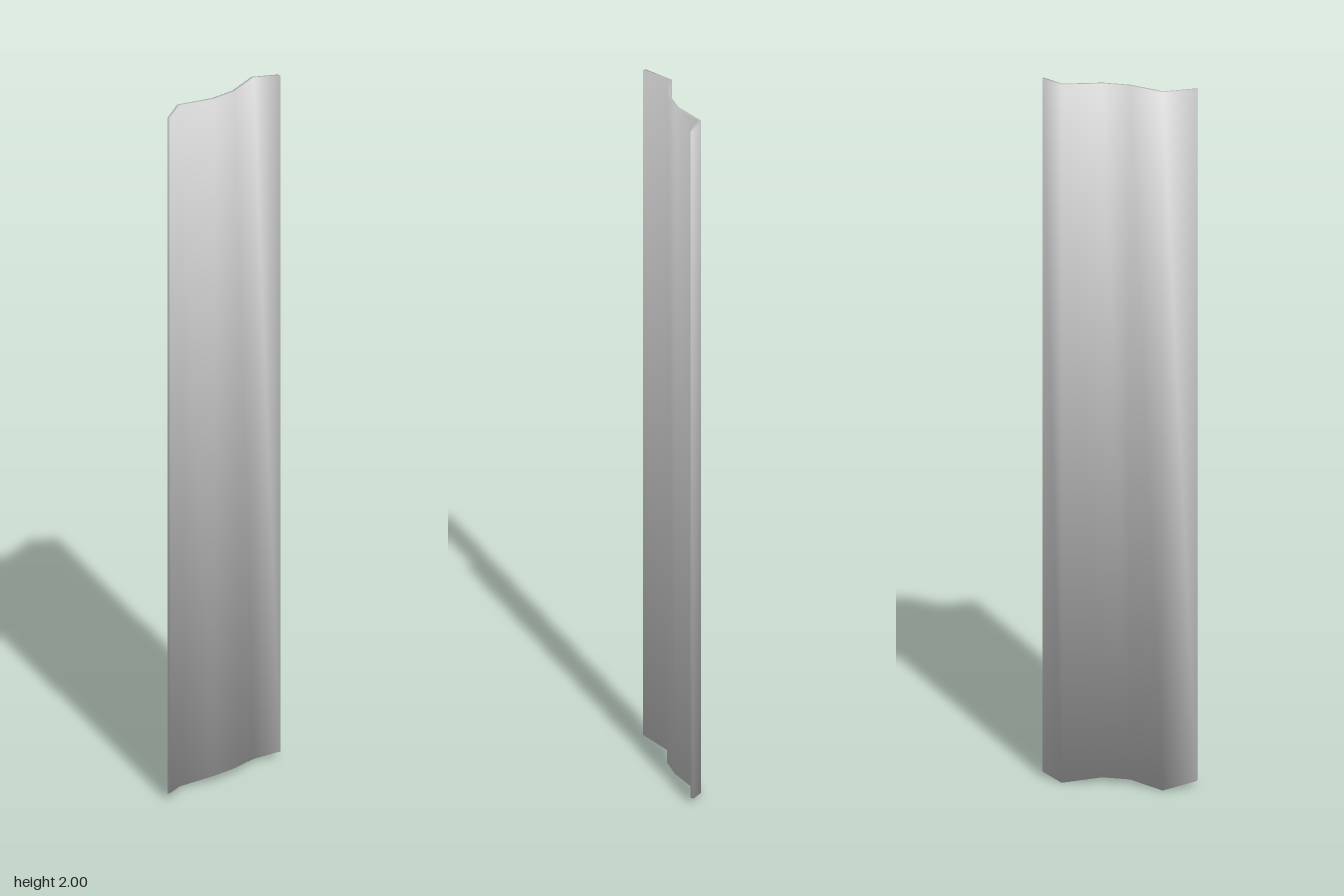
import * as THREE from 'three';
import { toCreasedNormals } from 'three/addons/utils/BufferGeometryUtils.js';

// All sizes below are in hundredths of a unit; the geometry is scaled down last.
const HEIGHT = 200;
const THICKNESS = 0.9;
const BOTTOM_SLOPE = 0.38;

// Zigzag cross-section of the sheet from back to front: [x, z]
const FOLDS = [
  [1.0, -21.5],
  [-2.9, -15.2],
  [0.5, -4.7],
  [0.5, 3.1],
  [-2.9, 13.0],
  [1.9, 21.4],
];

function foldedSheet() {
  // Closed outline: one side of the sheet, then back along the other
  const near = FOLDS.map(([x, z]) => new THREE.Vector2(x, -z));
  const far = near.map((p) => new THREE.Vector2(p.x + THICKNESS, p.y)).reverse();
  const geometry = new THREE.ExtrudeGeometry(new THREE.Shape([...near, ...far]), {
    depth: HEIGHT,
    bevelEnabled: false,
  });
  geometry.rotateX(-Math.PI / 2);

  // Bottom edge is cut at a slant, rising towards +x
  const pos = geometry.attributes.position;
  for (let i = 0; i < pos.count; i++) {
    if (pos.getY(i) < 1) pos.setY(i, BOTTOM_SLOPE * (pos.getX(i) + 2.9));
  }

  // Smooth shading across every fold and edge
  return toCreasedNormals(geometry, Math.PI).scale(0.01, 0.01, 0.01);
}

export function createModel() {
  const model = new THREE.Group();
  model.name = 'corrugatedPanel';
  const material = new THREE.MeshStandardMaterial({ color: 0xcccccc });
  const sheet = new THREE.Mesh(foldedSheet(), material);
  sheet.name = 'foldedSheet';
  model.add(sheet);
  return model;
}
